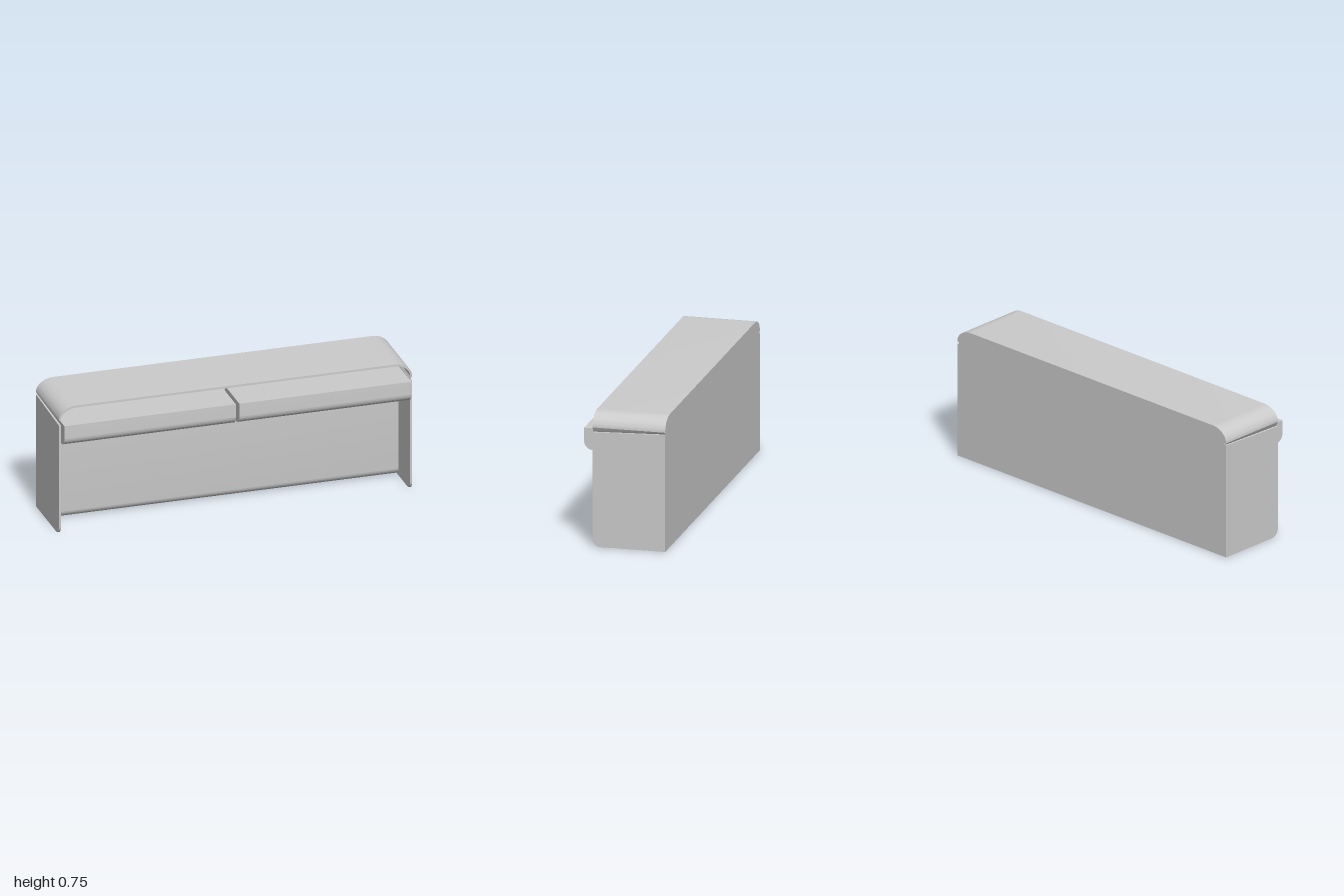
import * as THREE from 'three';
import { toCreasedNormals } from 'three/addons/utils/BufferGeometryUtils.js';

const TOP = 0.747, BACK = -0.228, FRONT = 0.177, FACE = -0.025;
const THICK = 0.012, CUT = 0.67, INNER = 1 - THICK;

export function createModel() {
  const model = new THREE.Group();
  const material = new THREE.MeshStandardMaterial({ color: 0xcccccc, side: THREE.DoubleSide });

  const add = (name, geometry) => {
    const mesh = new THREE.Mesh(geometry, material);
    mesh.name = name;
    model.add(mesh);
  };
  const extrude = (shape, depth) => toCreasedNormals(
    new THREE.ExtrudeGeometry(shape, { depth, bevelEnabled: false, curveSegments: 16 }), 0.5);

  // Extrudes an x-y outline from z0 to z1
  const alongZ = (shape, z0, z1) => extrude(shape, z1 - z0).translate(0, 0, z0);
  // Extrudes a z-y outline from x0 to x1
  const alongX = (shape, x0, x1) => extrude(shape, x1 - x0).rotateY(-Math.PI / 2).translate(x1, 0, 0);

  // Half-ellipse-cornered arch above y0, as points from right foot to left foot
  const archPoints = (halfWidth, top, radius, y0) => {
    const right = [];
    const rise = top - y0;
    for (let i = 0; i <= 16; i++) {
      const a = (i / 16) * Math.PI / 2;
      right.push(new THREE.Vector2(halfWidth - radius + radius * Math.cos(a), y0 + rise * Math.sin(a)));
    }
    const left = right.map((p) => new THREE.Vector2(-p.x, p.y)).reverse();
    return [...right, ...left];
  };

  // z-y outline with a rounded lower front corner
  const profile = (z0, z1, y0, r, yBack, yFront) => {
    const s = new THREE.Shape();
    s.moveTo(z0, y0);
    s.lineTo(z1 - r, y0);
    s.absarc(z1 - r, y0 + r, r, -Math.PI / 2, 0, false);
    s.lineTo(z1, yFront);
    s.lineTo(z0, yBack);
    s.closePath();
    return s;
  };

  // Thin curved top with rounded shoulders
  const outer = archPoints(1, TOP, 0.1, CUT);
  const inner = archPoints(INNER, TOP - THICK, 0.09, CUT);
  add('topShell', alongZ(new THREE.Shape([...outer, ...inner.reverse()]), BACK, FRONT));

  // Side panels, with the sloped recess between each panel and the top
  const yFront = 0.643, yBack = 0.657;
  for (const side of [1, -1]) {
    const label = side > 0 ? 'left' : 'right';
    const x0 = side > 0 ? INNER : -1;
    add(label + 'SidePanel', alongX(profile(BACK, FRONT, 0, 0.045, yBack, yFront), x0, x0 + THICK));

    const recess = new THREE.BufferGeometry();
    recess.setAttribute('position', new THREE.Float32BufferAttribute([
      side, CUT, BACK, side, CUT, FRONT,
      side * INNER, yFront, FRONT, side * INNER, yBack, BACK,
    ], 3));
    recess.setIndex(side > 0 ? [0, 1, 2, 0, 2, 3] : [0, 2, 1, 0, 3, 2]);
    recess.computeVertexNormals();
    add(label + 'Recess', recess);
  }

  // Back panel, closing the rear under the rounded top
  const backShape = new THREE.Shape([
    new THREE.Vector2(-INNER, 0), new THREE.Vector2(INNER, 0),
    ...archPoints(INNER, TOP - THICK, 0.09, CUT),
  ]);
  add('backPanel', alongZ(backShape, BACK, BACK + THICK));

  // Set-back body with a rounded lower front edge
  add('body', alongX(profile(BACK + THICK, FACE, 0.002, 0.045, CUT, CUT), -INNER, INNER));
  add('upperBody', alongZ(
    new THREE.Shape(archPoints(INNER, TOP - THICK, 0.09, CUT)), BACK + THICK, FACE));

  // Pair of drawers projecting past the front
  for (const [name, x0, x1] of [['rightDrawer', -0.985, -0.015], ['leftDrawer', 0.005, 0.978]]) {
    add(name, alongX(profile(FACE, 0.23, 0.535, 0.051, 0.658, 0.658), x0, x1));
  }

  return model;
}
